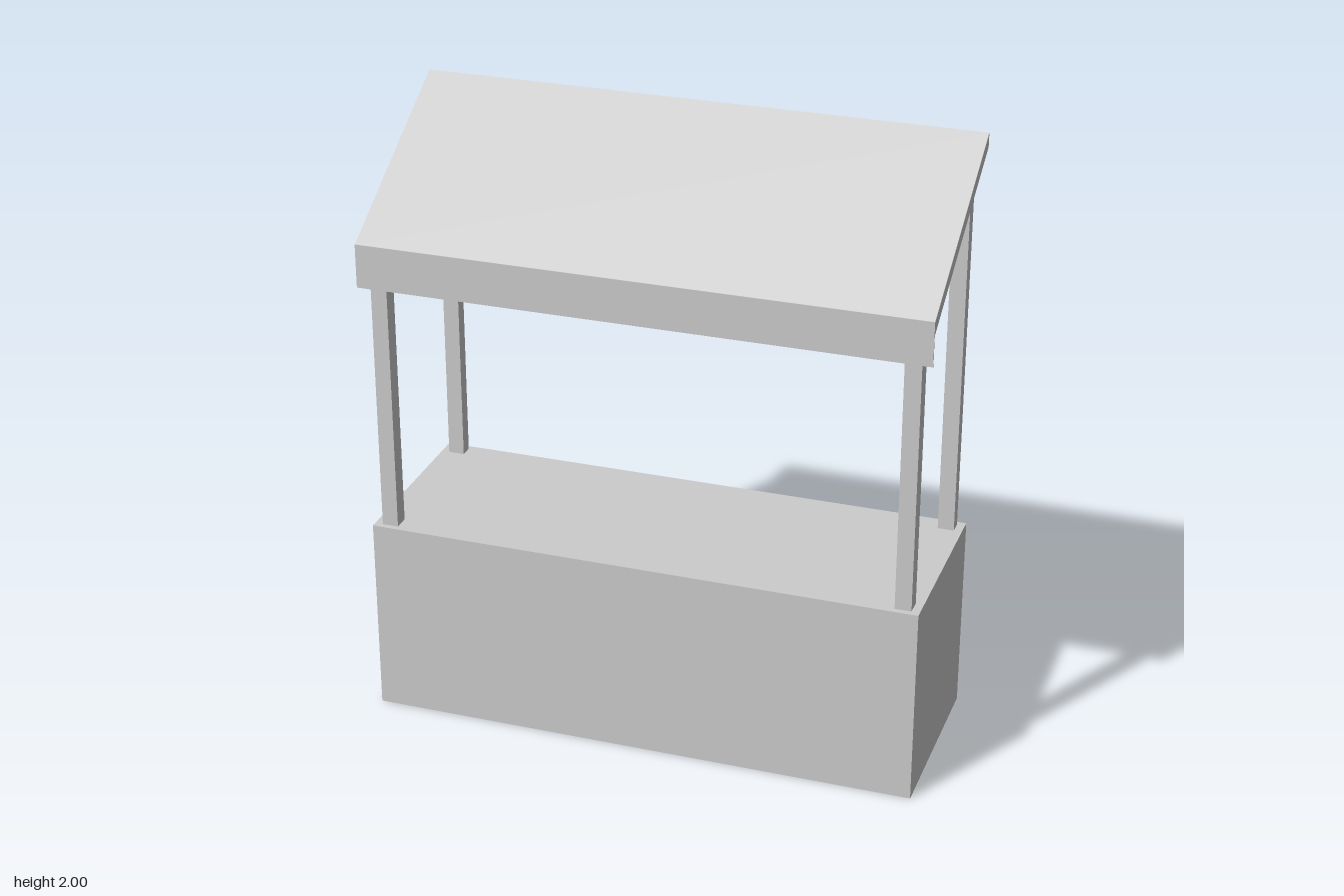
import * as THREE from 'three';

const material = new THREE.MeshStandardMaterial({ color: 0xcccccc, flatShading: true });

// Extrudes a side profile of [z, y] points along x, centred on the given x.
function sideExtrude(name, profile, width, x) {
  const shape = new THREE.Shape(profile.map(([z, y]) => new THREE.Vector2(-z, y)));
  const geometry = new THREE.ExtrudeGeometry(shape, { depth: width, bevelEnabled: false });
  geometry.translate(0, 0, -width / 2);
  geometry.rotateY(Math.PI / 2);
  const mesh = new THREE.Mesh(geometry, material);
  mesh.name = name;
  mesh.position.x = x;
  return mesh;
}

export function createModel() {
  const model = new THREE.Group();
  model.name = 'marketStall';

  const counterTop = 0.66;
  const roofBack = -0.298, roofFront = 0.315, roofWidth = 1.826;
  const topBack = 2, topFront = 1.635, thickness = 0.046;
  const underside = z =>
    topFront - thickness + (topBack - topFront) * (roofFront - z) / (roofFront - roofBack);

  // Solid counter block
  const counter = new THREE.Mesh(new THREE.BoxGeometry(1.806, counterTop, 0.63), material);
  counter.name = 'counter';
  counter.position.y = counterTop / 2;
  model.add(counter);

  // Sloping roof slab with vertical front and back edges
  model.add(sideExtrude('roof', [
    [roofFront, topFront - thickness], [roofBack, topBack - thickness],
    [roofBack, topBack], [roofFront, topFront],
  ], roofWidth, 0));

  // Thin board hanging from the front edge of the roof
  const valanceBottom = 1.492;
  const valance = new THREE.Mesh(
    new THREE.BoxGeometry(roofWidth, topFront - valanceBottom, 0.004), material);
  valance.name = 'valance';
  valance.position.set(0, (topFront + valanceBottom) / 2, roofFront);
  model.add(valance);

  // Four posts, cut to the slope of the roof
  const posts = [['front', 0.243, 0.296], ['back', -0.297, -0.253]];
  for (const [end, z0, z1] of posts) {
    for (const [side, sign] of [['Left', 1], ['Right', -1]]) {
      model.add(sideExtrude(`${end}${side}Post`, [
        [z1, counterTop], [z0, counterTop], [z0, underside(z0)], [z1, underside(z1)],
      ], 0.053, sign * 0.85));
    }
  }

  return model;
}
